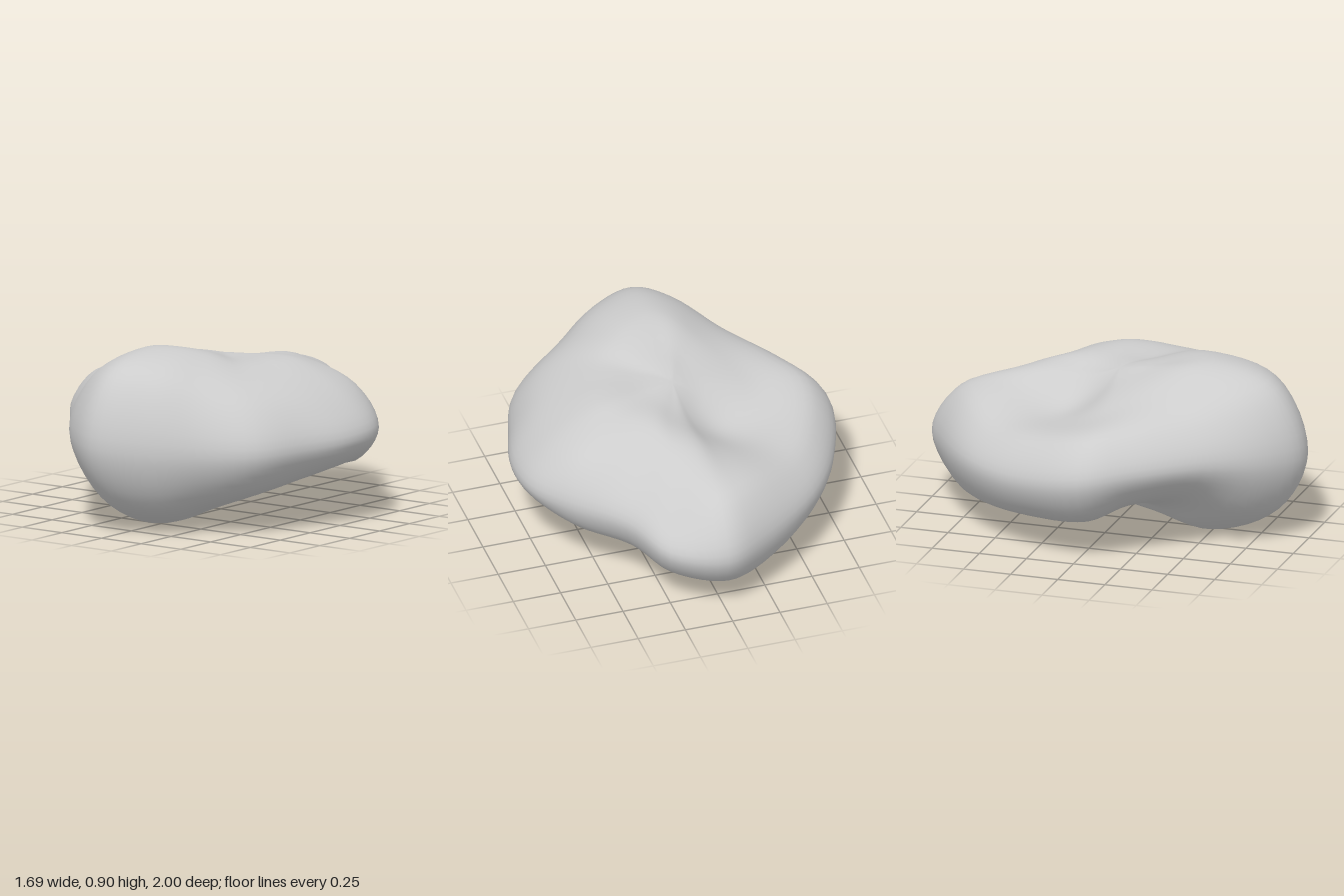
import * as THREE from 'three';

// Spokes round the rock, from the front towards its left:
// rim x, rim z, rim height, upper heights at 0.85 and 0.5 of the spoke, lower heights at 0.5 and 0.85
const SPOKES = [
  [-0.07, 1.00, 0.45, 0.80, 0.90, 0.00, 0.15],
  [0.20, 0.91, 0.43, 0.78, 0.89, 0.02, 0.13],
  [0.42, 0.76, 0.42, 0.72, 0.86, 0.07, 0.17],
  [0.66, 0.58, 0.42, 0.66, 0.81, 0.13, 0.22],
  [0.77, 0.30, 0.43, 0.65, 0.80, 0.17, 0.26],
  [0.84, 0.04, 0.44, 0.63, 0.80, 0.24, 0.29],
  [0.82, -0.20, 0.45, 0.64, 0.80, 0.29, 0.30],
  [0.69, -0.40, 0.45, 0.66, 0.79, 0.28, 0.26],
  [0.44, -0.62, 0.42, 0.60, 0.78, 0.25, 0.23],
  [0.29, -0.88, 0.37, 0.54, 0.75, 0.22, 0.19],
  [0.02, -1.00, 0.36, 0.61, 0.73, 0.20, 0.15],
  [-0.20, -0.90, 0.37, 0.62, 0.69, 0.19, 0.12],
  [-0.55, -0.63, 0.39, 0.56, 0.64, 0.18, 0.16],
  [-0.75, -0.33, 0.40, 0.58, 0.64, 0.15, 0.19],
  [-0.85, 0.05, 0.45, 0.64, 0.69, 0.15, 0.23],
  [-0.72, 0.30, 0.48, 0.67, 0.74, 0.20, 0.31],
  [-0.50, 0.60, 0.49, 0.70, 0.81, 0.18, 0.32],
  [-0.28, 0.88, 0.47, 0.77, 0.88, 0.06, 0.20],
];
const TOP = new THREE.Vector3(0, 0.82, 0);
const BOTTOM = new THREE.Vector3(0, 0.10, 0);
const COLUMNS = 90, ROWS = 48;

// Closed smooth loop through one level of every spoke
function ring(scale, height) {
  const points = SPOKES.map((s) => new THREE.Vector3(s[0] * scale, height(s), s[1] * scale));
  return new THREE.CatmullRomCurve3(points, true);
}

// Depth of the round hollow in the upper face
const hollow = (x, z) => 0.09 * Math.exp(-((x + 0.13) ** 2 + (z + 0.2) ** 2) / 0.04);

function rockGeometry() {
  const rings = [
    ring(0.2, (s) => TOP.y * 0.65 + s[4] * 0.35),
    ring(0.5, (s) => s[4]),
    ring(0.85, (s) => s[3]),
    ring(1, (s) => s[2]),
    ring(0.85, (s) => s[6]),
    ring(0.5, (s) => s[5]),
    ring(0.2, (s) => BOTTOM.y * 0.55 + s[5] * 0.45),
  ];
  const columns = Array.from({ length: COLUMNS }, (_, i) => rings.map((r) => r.getPoint(i / COLUMNS)));

  // Skin: each column's curve runs on over both poles so that they stay smooth
  const positions = [];
  const addPoint = (p, upper) => positions.push(p.x, p.y - (upper ? hollow(p.x, p.z) : 0), p.z);
  addPoint(TOP, true);
  columns.forEach((column, i) => {
    const opposite = columns[(i + COLUMNS / 2) % COLUMNS];
    const curve = new THREE.CatmullRomCurve3([opposite[0], TOP, ...column, BOTTOM, opposite[6]]);
    for (let j = 1; j < ROWS; j++) addPoint(curve.getPoint((1 + (8 * j) / ROWS) / 10), j < ROWS / 2);
  });
  addPoint(BOTTOM, false);

  const last = positions.length / 3 - 1;
  const at = (i, j) => (j === 0 ? 0 : j === ROWS ? last : 1 + (i % COLUMNS) * (ROWS - 1) + j - 1);
  const index = [];
  for (let i = 0; i < COLUMNS; i++) {
    for (let j = 0; j < ROWS; j++) {
      if (j < ROWS - 1) index.push(at(i, j), at(i, j + 1), at(i + 1, j + 1));
      if (j > 0) index.push(at(i, j), at(i + 1, j + 1), at(i + 1, j));
    }
  }

  const geometry = new THREE.BufferGeometry();
  geometry.setAttribute('position', new THREE.Float32BufferAttribute(positions, 3));
  geometry.setIndex(index);
  // Rest the lowest point on the ground
  geometry.computeBoundingBox();
  geometry.translate(0, -geometry.boundingBox.min.y, 0);
  geometry.computeVertexNormals();
  return geometry;
}

export function createModel() {
  const stone = new THREE.MeshStandardMaterial({ color: 0xcccccc });
  stone.name = 'stone grey';
  const rock = new THREE.Mesh(rockGeometry(), stone);
  rock.name = 'rock';
  const model = new THREE.Group();
  model.name = 'boulder';
  model.add(rock);
  return model;
}
